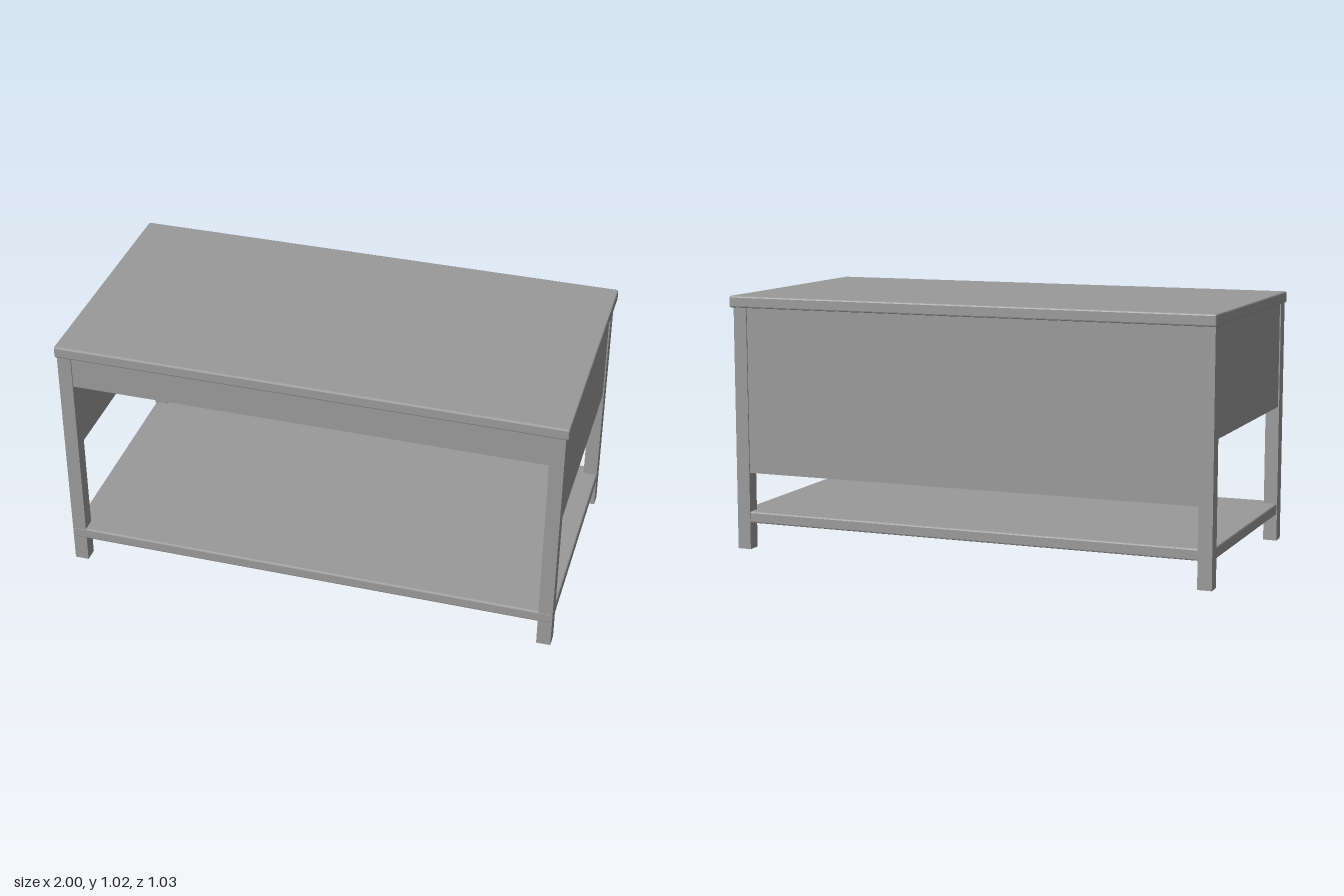
import * as THREE from 'three';
import { RoundedBoxGeometry } from 'three/addons/geometries/RoundedBoxGeometry.js';

const color = 0x9a9a9a;
const material = new THREE.MeshStandardMaterial({ color, flatShading: true });
const hollowMaterial = new THREE.MeshStandardMaterial({ color, flatShading: true, side: THREE.DoubleSide });

// Mesh filling the span between two corners; a bevel chamfers its edges.
function block(name, [x0, y0, z0], [x1, y1, z1], bevel = 0) {
  const size = [x1 - x0, y1 - y0, z1 - z0];
  const geometry = bevel ? new RoundedBoxGeometry(...size, 1, bevel) : new THREE.BoxGeometry(...size);
  const mesh = new THREE.Mesh(geometry, material);
  mesh.name = name;
  mesh.position.set((x0 + x1) / 2, (y0 + y1) / 2, (z0 + z1) / 2);
  return mesh;
}

// Leg tube, open at the foot.
function leg(name, x, z, width, height) {
  const shape = new THREE.BoxGeometry(width, height, width);
  const index = Array.from(shape.index.array);
  index.splice(18, 6); // bottom face
  shape.setIndex(index);
  shape.clearGroups();
  const mesh = new THREE.Mesh(shape, hollowMaterial);
  mesh.name = name;
  mesh.position.set(x, height / 2, z);
  return mesh;
}

export function createModel() {
  const group = new THREE.Group();
  group.name = 'workbench';

  const left = 0.988, right = -0.994, front = 0.505, back = -0.501;
  const w = 0.056, t = 0.05, top = 0.978, inset = 0.005;

  // Table top and lower shelf
  group.add(block('tableTop', [-1, 0.977, -0.516], [1, 1.023, 0.516], 0.006));
  group.add(block('lowerShelf', [-0.991, 0.108, -0.498], [0.987, 0.154, 0.506], 0.006));

  // Four legs
  for (const [xName, x] of [['Left', left - w / 2], ['Right', right + w / 2]]) {
    for (const [zName, z] of [['front', front - w / 2], ['back', back + w / 2]]) {
      group.add(leg(`${zName}${xName}Leg`, x, z, w, top));
    }
  }

  // Panels between the legs: shallow front, deeper sides, deepest back
  const xIn = [right + w, left - w], zIn = [back + w, front - w];
  group.add(block('frontApron', [xIn[0], 0.845, front - inset - t], [xIn[1], top, front - inset]));
  group.add(block('backPanel', [xIn[0], 0.312, back + inset], [xIn[1], top, back + inset + t]));
  group.add(block('leftPanel', [left - inset - t, 0.556, zIn[0]], [left - inset, top, zIn[1]]));
  group.add(block('rightPanel', [right + inset, 0.556, zIn[0]], [right + inset + t, top, zIn[1]]));

  return group;
}
